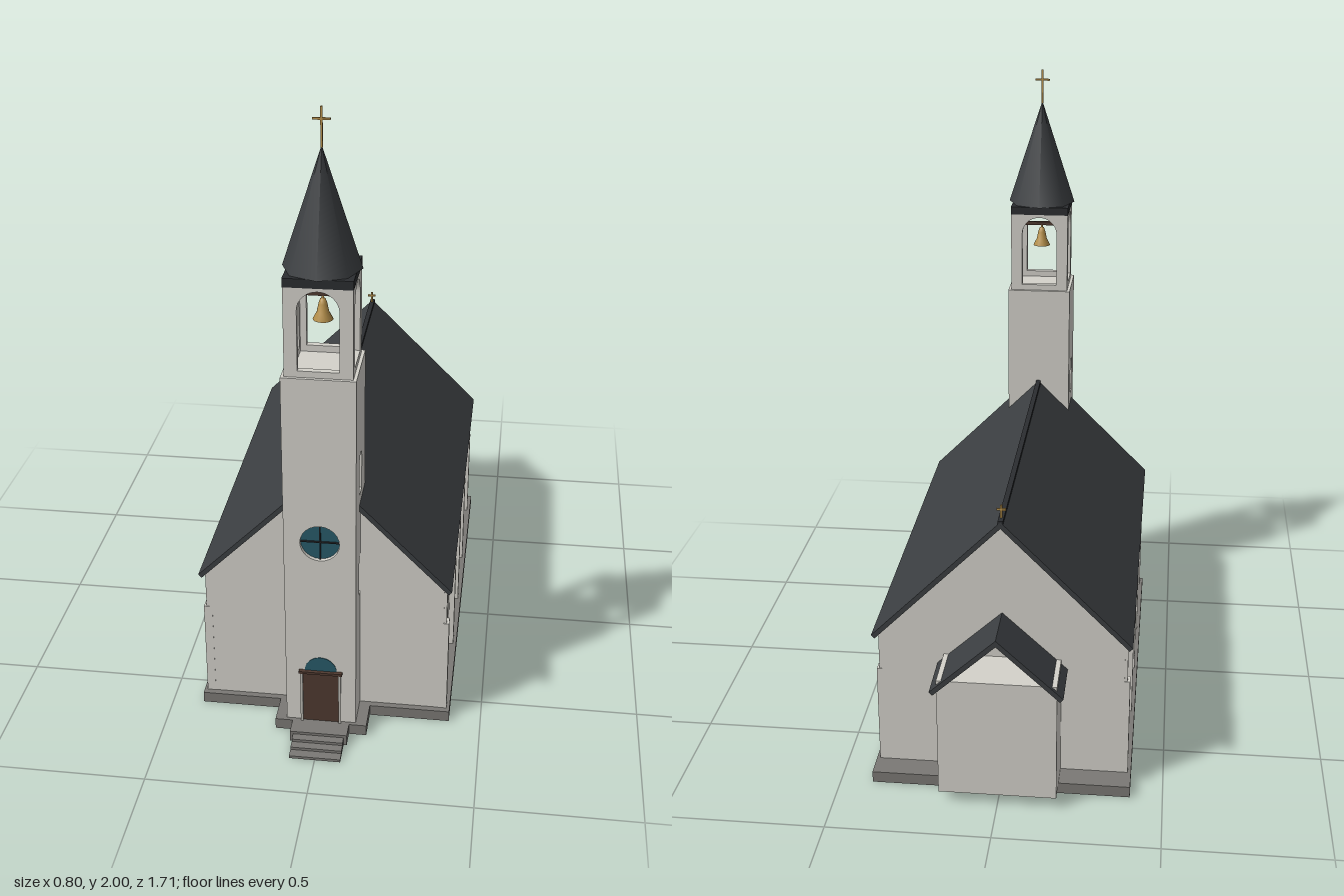
import * as THREE from 'three';

const mat = (color, opts = {}) => new THREE.MeshStandardMaterial({ color, ...opts });
const M = {
  wall: mat(0xd4d2cb), roof: mat(0x3b3e41), ridge: mat(0x2b2d30), stone: mat(0x7b7975),
  glass: mat(0x285a69), door: mat(0x4f3a30), gold: mat(0xb8924c), trim: mat(0xbdbbb4),
};

function add(parent, name, geo, material, x = 0, y = 0, z = 0) {
  const m = new THREE.Mesh(geo, material);
  m.name = name;
  m.position.set(x, y, z);
  parent.add(m);
  return m;
}

// Box given by its lower and upper corners
function block(parent, name, material, x0, x1, y0, y1, z0, z1) {
  return add(parent, name, new THREE.BoxGeometry(x1 - x0, y1 - y0, z1 - z0), material,
    (x0 + x1) / 2, (y0 + y1) / 2, (z0 + z1) / 2);
}

const poly = (pts) => new THREE.Shape(pts.map(([x, y]) => new THREE.Vector2(x, y)));
const rect = (w, y0, y1) => poly([[-w, y0], [w, y0], [w, y1], [-w, y1]]);
const slab = (shape, depth) =>
  new THREE.ExtrudeGeometry(shape, { depth, bevelEnabled: false, curveSegments: 12 });

// Round-headed opening centred on u, half width w, from y0 to crown y1
function arch(u, w, y0, y1) {
  const s = new THREE.Shape();
  s.moveTo(u - w, y0);
  s.lineTo(u + w, y0);
  s.lineTo(u + w, y1 - w);
  s.absarc(u, y1 - w, w, 0, Math.PI, false);
  s.closePath();
  return s;
}

// Gable roof: chevron cross-section run along z
function gableRoof(parent, name, half, ridge, slope, t, z0, z1) {
  const a = Math.atan(slope), dx = t * Math.sin(a), dy = t * Math.cos(a), e = ridge - slope * half;
  const s = poly([[0, ridge], [-half, e], [-half + dx, e - dy], [0, ridge - t / Math.cos(a)],
    [half - dx, e - dy], [half, e]]);
  add(parent, name, slab(s, z1 - z0), M.roof, 0, 0, z0);
}

function cross(parent, name, y0, y1, z, bar, t) {
  const g = new THREE.Group();
  g.name = name;
  block(g, 'crossPost', M.gold, -t, t, y0, y1, z - t, z + t);
  const yb = y0 + (y1 - y0) * 0.7;
  block(g, 'crossBar', M.gold, -bar, bar, yb - t, yb + t, z - t, z + t);
  parent.add(g);
}

function buildNave(root) {
  const nave = new THREE.Group();
  nave.name = 'nave';
  root.add(nave);
  const zF = 0.59, zB = -0.685, T = 0.03, X = 0.373;

  // Gable walls
  const gable = poly([[-X, 0.035], [X, 0.035], [X, 0.487], [0, 0.86], [-X, 0.487]]);
  add(nave, 'frontGable', slab(gable, T), M.wall, 0, 0, zF - T);
  add(nave, 'backGable', slab(gable, T), M.wall, 0, 0, zB);

  // Side walls with windows and stepped buttresses
  for (const s of [1, -1]) {
    const side = new THREE.Group();
    side.name = s > 0 ? 'leftSide' : 'rightSide';
    side.rotation.y = s * Math.PI / 2;
    nave.add(side);
    const wall = poly([[-s * zF, 0.035], [-s * zB, 0.035], [-s * zB, 0.487], [-s * zF, 0.487]]);
    for (const z of [0.362, 0.089, -0.184, -0.457]) {
      const u = -s * z;
      wall.holes.push(arch(u, 0.042, 0.125, 0.374));
      const frame = arch(u, 0.042, 0.125, 0.374);
      frame.holes.push(arch(u, 0.037, 0.13, 0.357));
      add(side, 'windowFrame', slab(frame, 0.012), M.wall, 0, 0, X - 0.015);
      add(side, 'windowGlass', slab(arch(u, 0.042, 0.125, 0.37), 0.004), M.glass, 0, 0, X - 0.022);
    }
    add(side, 'sideWall', slab(wall, T), M.wall, 0, 0, X - T);
    for (const z of [0.574, 0.225, -0.047, -0.32, -0.668]) {
      const u = -s * z;
      block(side, 'buttressBase', M.wall, u - 0.017, u + 0.017, 0.035, 0.36, X - 0.01, 0.39);
      block(side, 'buttressTop', M.wall, u - 0.014, u + 0.014, 0.36, 0.487, X - 0.01, 0.382);
    }
  }

  gableRoof(nave, 'naveRoof', 0.397, 0.892, 1, 0.015, -0.717, 0.617);
  block(nave, 'ridgeCap', M.ridge, -0.008, 0.008, 0.88, 0.895, -0.717, 0.48);
  cross(nave, 'ridgeCross', 0.89, 0.935, -0.69, 0.014, 0.003);
}

function buildTower(root) {
  const tower = new THREE.Group();
  tower.name = 'tower';
  tower.position.z = 0.59;
  root.add(tower);

  for (let k = 0; k < 4; k++) {
    const face = new THREE.Group();
    face.name = ['frontFace', 'leftFace', 'backFace', 'rightFace'][k];
    face.rotation.y = k * Math.PI / 2;
    tower.add(face);

    // Shaft wall
    const wall = rect(k % 2 ? 0.109 : 0.11, 0.035, 1.235);
    if (k === 0) {
      const rose = new THREE.Path();
      rose.absarc(0, 0.69, 0.06, 0, Math.PI * 2, false);
      wall.holes.push(rose);
      const glass = add(face, 'roseGlass', new THREE.CylinderGeometry(0.062, 0.062, 0.004, 32), M.glass, 0, 0.69, 0.095);
      glass.rotation.x = Math.PI / 2;
      block(face, 'roseMullion', M.ridge, -0.002, 0.002, 0.63, 0.75, 0.096, 0.102);
      block(face, 'roseTransom', M.ridge, -0.06, 0.06, 0.688, 0.692, 0.096, 0.102);
    }
    if (k % 2) {
      for (const [y0, y1] of [[0.815, 0.95], [0.46, 0.6]]) {
        wall.holes.push(arch(0, 0.028, y0, y1));
        add(face, 'towerGlass', slab(arch(0, 0.03, y0, y1 + 0.002), 0.004), M.glass, 0, 0, 0.09);
      }
      block(face, 'windowSill', M.wall, -0.028, 0.028, 0.845, 0.873, 0.09, 0.1);
      block(face, 'windowFoot', M.roof, -0.028, 0.028, 0.815, 0.842, 0.09, 0.102);
    }
    add(face, 'shaftWall', slab(wall, 0.03), M.wall, 0, 0, 0.08);

    // Belfry wall with open arch
    const bell = rect(k % 2 ? 0.0995 : 0.1, 1.235, 1.512);
    bell.holes.push(arch(0, 0.061, 1.255, 1.5));
    add(face, 'belfryWall', slab(bell, 0.02), M.wall, 0, 0, 0.08);
  }
  block(tower, 'belfryFloor', M.wall, -0.109, 0.109, 1.21, 1.2345, -0.109, 0.109);

  // Bell hung on a beam
  const profile = [[0.002, 1.443], [0.008, 1.44], [0.013, 1.425], [0.018, 1.4], [0.03, 1.377], [0.025, 1.376], [0.002, 1.425]];
  add(tower, 'bell', new THREE.LatheGeometry(profile.map(([x, y]) => new THREE.Vector2(x, y)).reverse(), 16),
    mat(0xb8924c, { side: THREE.DoubleSide }));
  block(tower, 'bellBeam', M.door, -0.085, 0.085, 1.45, 1.462, -0.006, 0.006);
  block(tower, 'bellHanger', M.gold, -0.003, 0.003, 1.435, 1.452, -0.003, 0.003);

  // Spire
  block(tower, 'spireBase', M.ridge, -0.101, 0.101, 1.51, 1.537, -0.101, 0.101);
  add(tower, 'spire', new THREE.ConeGeometry(0.116, 0.355, 8), M.roof, 0, 1.5375 + 0.1775, 0);
  cross(tower, 'spireCross', 1.885, 2, 0, 0.025, 0.003);

  // Entrance
  block(tower, 'door', M.door, -0.056, 0.056, 0.035, 0.22, 0.1, 0.113);
  for (const s of [-1, 1]) add(tower, 'doorJamb', new THREE.BoxGeometry(0.008, 0.185, 0.018), M.trim, s * 0.06, 0.1275, 0.111);
  block(tower, 'lintel', M.door, -0.068, 0.068, 0.219, 0.227, 0.1, 0.123);
  add(tower, 'fanlight', slab(arch(0, 0.05, 0.225, 0.276), 0.004), M.glass, 0, 0, 0.108);
}

function buildAnnex(root) {
  const annex = new THREE.Group();
  annex.name = 'annex';
  root.add(annex);
  block(annex, 'annexWalls', M.wall, -0.18, 0.18, 0.037, 0.425, -0.842, -0.67);
  gableRoof(annex, 'annexRoof', 0.2, 0.577, 0.92, 0.015, -0.855, -0.67);
}

function buildBase(root) {
  const base = new THREE.Group();
  base.name = 'base';
  root.add(base);
  block(base, 'plinth', M.stone, -0.4, 0.4, 0, 0.036, -0.762, 0.61);
  block(base, 'towerPlinth', M.stone, -0.145, 0.145, 0, 0.036, 0.6, 0.712);
  block(base, 'landing', M.stone, -0.09, 0.09, 0, 0.036, 0.7, 0.767);
  [0.793, 0.82, 0.85].forEach((z, i) =>
    block(base, 'step', M.stone, -0.08, 0.08, 0, 0.027 - i * 0.009, 0.75, z));
}

export function createModel() {
  const root = new THREE.Group();
  root.name = 'church';
  buildBase(root);
  buildNave(root);
  buildTower(root);
  buildAnnex(root);
  return root;
}
